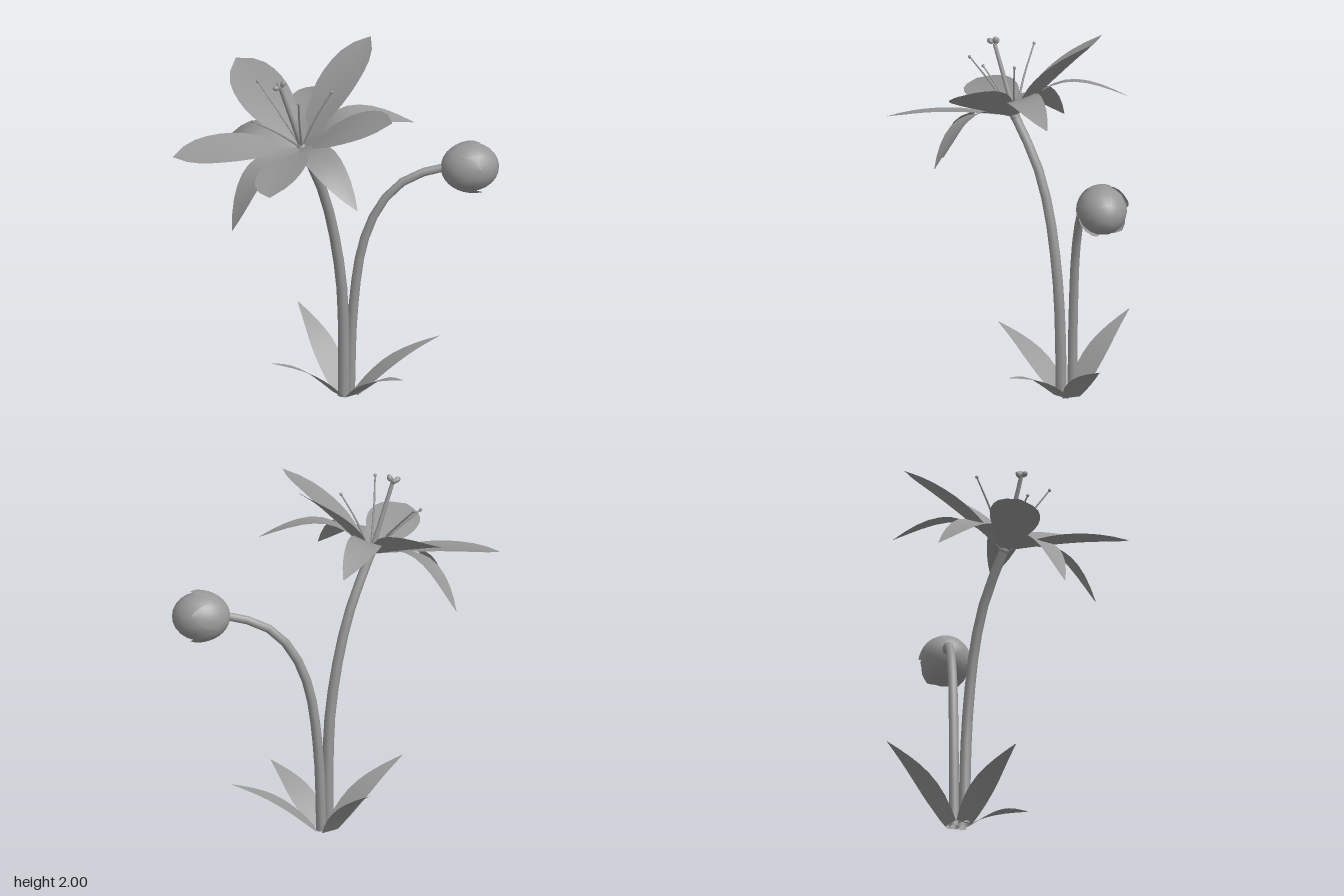
import * as THREE from 'three';
import { ParametricGeometry } from 'three/addons/geometries/ParametricGeometry.js';

const V = (x, y, z) => new THREE.Vector3(x, y, z);
const solid = new THREE.MeshStandardMaterial({ color: 0x999999 });
const thin = new THREE.MeshStandardMaterial({ color: 0x999999, side: THREE.DoubleSide });

function add(parent, name, geometry, material = solid) {
  const mesh = new THREE.Mesh(geometry, material);
  mesh.name = name;
  parent.add(mesh);
  return mesh;
}

// Value of an evenly spaced list at t in 0..1
function sample(list, t) {
  const f = Math.max(0, Math.min(1, t)) * (list.length - 1);
  const i = Math.min(Math.floor(f), list.length - 2);
  return THREE.MathUtils.lerp(list[i], list[i + 1], f - i);
}

// Thin surface following rule(u, t, target), u across in -1..1, t along in 0..1
function sheet(rule, across, along) {
  const geometry = new ParametricGeometry((u, t, target) => rule(u * 2 - 1, t, target), across, along);
  geometry.computeVertexNormals();
  return geometry;
}

// Arched blade from base along reach, bulging along axis, with slightly cupped sides
function blade(base, reach, axis, widths, bulge, cup, along) {
  const side = axis.clone().cross(reach).normalize();
  return sheet((u, t, p) => {
    const w = sample(widths, t);
    p.copy(base)
      .addScaledVector(reach, t)
      .addScaledVector(side, u * w)
      .addScaledVector(axis, bulge * Math.sin(Math.PI * t) + cup * u * u * w);
  }, 4, along);
}

// Smooth tube through points, tapering from r0 to r1
function taperedTube(points, r0, r1, segments = 8, sides = 8) {
  const path = new THREE.CatmullRomCurve3(points);
  const geometry = new THREE.TubeGeometry(path, segments, r0, sides);
  const pos = geometry.attributes.position;
  const p = V(0, 0, 0);
  for (let i = 0; i < pos.count; i++) {
    const t = Math.floor(i / (sides + 1)) / segments;
    const c = path.getPointAt(t);
    p.fromBufferAttribute(pos, i).sub(c).multiplyScalar(1 + (r1 / r0 - 1) * t).add(c);
    pos.setXYZ(i, p.x, p.y, p.z);
  }
  return geometry;
}

function makeFlower() {
  const flower = new THREE.Group();
  flower.name = 'flower';
  const base = V(-0.2, 1.5, 0);
  const axis = V(-0.35, 0.91, 0.19).normalize();

  // Two whorls of five petals: broad upper ones and narrow drooping ones
  const broad = [V(-0.888, 1.48, -0.04), V(-0.45, 1.8, -0.582), V(0.218, 2, -0.265),
    V(0.198, 1.8, 0.48), V(-0.488, 1.48, 0.62)];
  const narrow = [V(-0.595, 1.33, -0.425), V(0.03, 1.62, -0.555), V(0.393, 1.62, 0.042),
    V(0, 1.335, 0.532), V(-0.622, 1.155, 0.25)];
  const broadWidths = [0.02, 0.045, 0.075, 0.1, 0.122, 0.133, 0.134, 0.127, 0.11, 0.073, 0.003];
  const narrowWidths = [0.02, 0.035, 0.053, 0.07, 0.08, 0.086, 0.084, 0.075, 0.06, 0.036, 0.003];
  for (const tip of broad)
    add(flower, 'broadPetal', blade(base, tip.sub(base), axis, broadWidths, 0.03, 0.06, 10), thin);
  for (const tip of narrow)
    add(flower, 'narrowPetal', blade(base, tip.sub(base), axis, narrowWidths, 0.135, 0.06, 10), thin);

  // Flower heart
  add(flower, 'receptacle', new THREE.SphereGeometry(0.027, 10, 8)).position.copy(base);

  // Stamens with small anthers
  for (const tip of [V(-0.48, 1.7, 0.076), V(-0.405, 1.82, -0.185), V(-0.26, 1.845, 0.235), V(-0.05, 1.83, 0.06)]) {
    const mid = base.clone().lerp(tip, 0.5).addScaledVector(axis, 0.015);
    add(flower, 'filament', taperedTube([base, mid, tip], 0.007, 0.004, 6, 6));
    add(flower, 'anther', new THREE.SphereGeometry(0.009, 8, 6)).position.copy(tip);
  }

  // Pistil with a three-lobed stigma
  const top = V(-0.328, 1.875, 0.068);
  add(flower, 'pistil', taperedTube([base, base.clone().lerp(top, 0.5), top], 0.014, 0.011, 6, 8));
  for (const [x, y, z] of [[0.014, 0.026, 0.002], [-0.026, 0.008, 0.014], [-0.004, 0.012, -0.012]]) {
    const lobe = add(flower, 'stigmaLobe', new THREE.SphereGeometry(0.015, 10, 8));
    lobe.position.set(top.x + x, top.y + y, top.z + z);
    lobe.scale.set(1, 1.4, 1);
    lobe.quaternion.setFromUnitVectors(V(0, 1, 0), V(x, y, z).normalize());
  }
  return flower;
}

function makeBud() {
  const bud = new THREE.Group();
  bud.name = 'bud';
  const R = 0.131, H = 0.153;
  add(bud, 'budBody', new THREE.SphereGeometry(1, 18, 12)).scale.set(R, H, R);

  // Five sepals hugging the bud, tips flaring off
  const widths = [0.01, 0.03, 0.05, 0.064, 0.07, 0.071, 0.067, 0.056, 0.037, 0.003];
  for (let i = 0; i < 5; i++) {
    const middle = Math.PI + i * Math.PI * 0.4;
    add(bud, 'sepal', sheet((u, t, p) => {
      const theta = 0.08 + t * 1.83;
      const a = middle + u * sample(widths, t) / (R * Math.max(0.2, Math.sin(theta)));
      const swell = 1.025 + 0.1 * t ** 4;
      p.set(Math.cos(a) * Math.sin(theta) * R, -Math.cos(theta) * H, Math.sin(a) * Math.sin(theta) * R)
        .multiplyScalar(swell);
    }, 6, 9), thin);
  }
  bud.position.set(0.734, 1.266, -0.143);
  bud.quaternion.setFromUnitVectors(V(0, 1, 0), V(0.99, 0.02, 0.1).normalize());
  return bud;
}

export function createModel() {
  const plant = new THREE.Group();
  plant.name = 'floweringPlant';

  // Stems
  add(plant, 'flowerStem', taperedTube([V(0.055, 0, -0.165), V(0.055, 0.3, -0.162), V(0.04, 0.65, -0.15),
    V(-0.02, 1.02, -0.122), V(-0.09, 1.26, -0.08), V(-0.2, 1.5, 0)], 0.032, 0.025, 10), thin);
  add(plant, 'budStem', taperedTube([V(0.097, 0, -0.213), V(0.113, 0.45, -0.212), V(0.163, 0.83, -0.207),
    V(0.24, 1.03, -0.2), V(0.34, 1.16, -0.19), V(0.46, 1.23, -0.18), V(0.61, 1.268, -0.16)], 0.028, 0.023, 12), thin);

  plant.add(makeFlower(), makeBud());

  // Four flat leaves around the foot
  const centre = V(0.076, 0, -0.195);
  const leafWidths = [0.05, 0.064, 0.073, 0.077, 0.076, 0.07, 0.06, 0.047, 0.033, 0.018, 0.002];
  for (const tip of [V(-0.375, 0.29, 0.03), V(-0.11, 0.37, -0.613), V(0.302, 0.22, 0.222), V(0.576, 0.29, -0.195)]) {
    const out = V(tip.x - centre.x, 0, tip.z - centre.z).normalize();
    const base = centre.clone().addScaledVector(out, 0.05);
    add(plant, 'leaf', blade(base, tip.sub(base), V(0, 1, 0).addScaledVector(out, -0.5), leafWidths, 0.034, 0, 8), thin);
  }
  return plant;
}
